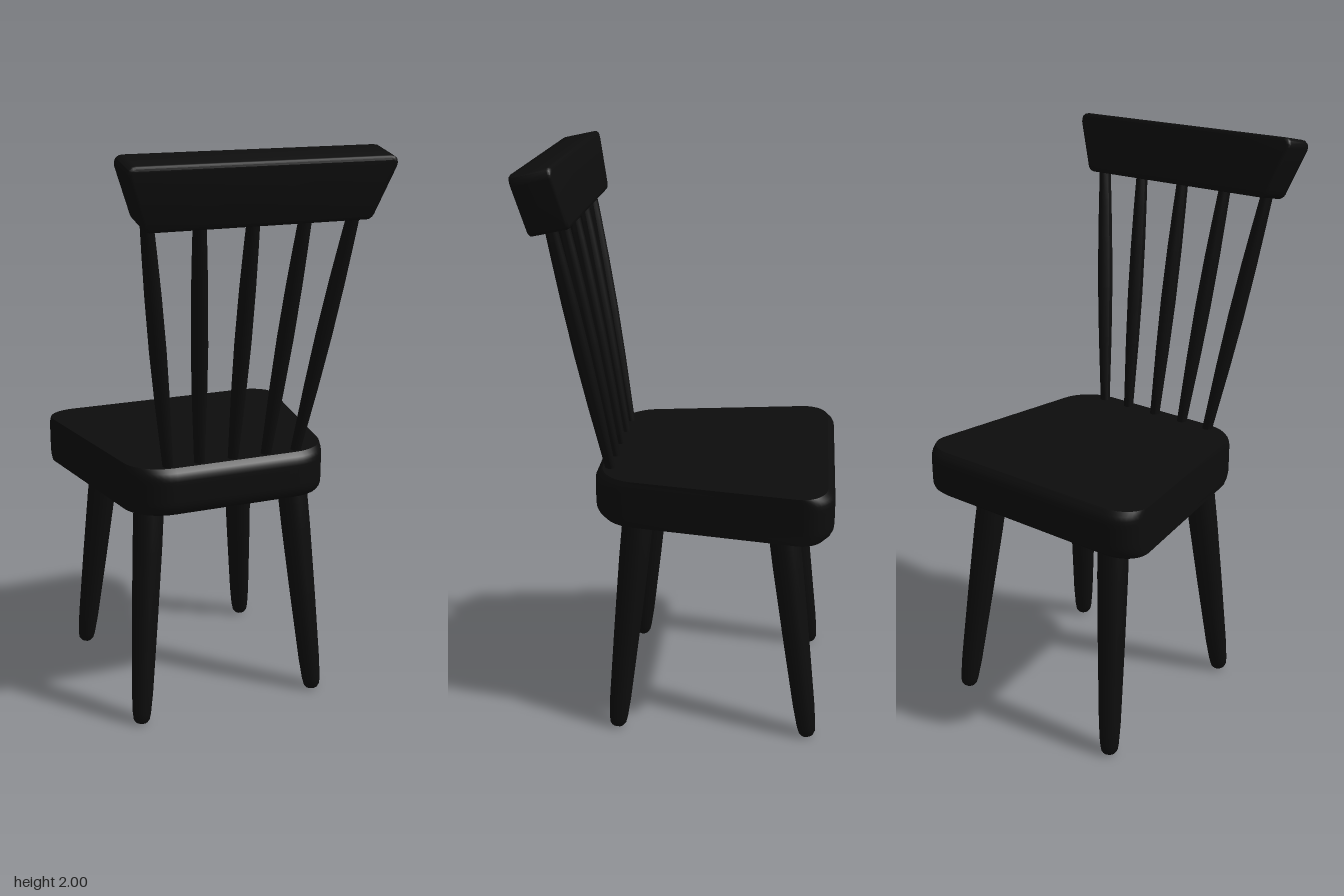
import * as THREE from 'three';
import { toCreasedNormals } from 'three/addons/utils/BufferGeometryUtils.js';

const material = new THREE.MeshStandardMaterial({ color: 0x0d0d0d });

function addMesh(parent, name, geometry) {
  const mesh = new THREE.Mesh(geometry, material);
  mesh.name = name;
  parent.add(mesh);
  return mesh;
}

// Turned round part from a to b; profile holds [radius, fraction of length]
function addTurned(parent, name, a, b, profile, sides) {
  const start = new THREE.Vector3(...a);
  const dir = new THREE.Vector3(...b).sub(start);
  const length = dir.length();
  const points = profile.map(([r, t]) => new THREE.Vector2(r, t * length));
  const geometry = toCreasedNormals(new THREE.LatheGeometry(points, sides), 0.8);
  const mesh = addMesh(parent, name, geometry);
  mesh.position.copy(start);
  mesh.quaternion.setFromUnitVectors(new THREE.Vector3(0, 1, 0), dir.normalize());
}

// Tapered seat slab with round corners and softened front and back edges
function seatGeometry() {
  const s = new THREE.Shape();
  s.moveTo(-0.35, -0.507);
  s.lineTo(0.35, -0.507);
  s.bezierCurveTo(0.415, -0.505, 0.46, -0.46, 0.453, -0.405);
  s.lineTo(0.362, 0.19);
  s.bezierCurveTo(0.352, 0.25, 0.3, 0.309, 0.22, 0.309);
  s.lineTo(-0.22, 0.309);
  s.bezierCurveTo(-0.3, 0.309, -0.352, 0.25, -0.362, 0.19);
  s.lineTo(-0.453, -0.405);
  s.bezierCurveTo(-0.46, -0.46, -0.415, -0.505, -0.35, -0.507);

  const depth = 0.165;
  const geometry = new THREE.ExtrudeGeometry(s, { depth, steps: 12, bevelEnabled: false, curveSegments: 10 });
  geometry.rotateX(Math.PI / 2);
  geometry.translate(0, 0.96, 0);
  const p = geometry.attributes.position;
  const middle = -0.1;
  for (let i = 0; i < p.count; i++) {
    const t = Math.abs((p.getY(i) - 0.96 + depth / 2) / (depth / 2));
    const k = 1 - 0.06 * Math.max(0, (t - 0.5) / 0.5) ** 2.5;
    p.setZ(i, middle + (p.getZ(i) - middle) * k);
  }
  return toCreasedNormals(geometry, 0.6);
}

// Flared top rail with a narrow bevel
function railGeometry() {
  const bevel = 0.012, h = 0.1025 - bevel, d = 0.135 - 2 * bevel;
  const s = new THREE.Shape();
  s.moveTo(-0.36, -h);
  s.lineTo(0.36, -h);
  s.quadraticCurveTo(0.373, -h, 0.378, -h + 0.02);
  s.lineTo(0.43, h - 0.02);
  s.quadraticCurveTo(0.435, h, 0.415, h);
  s.lineTo(-0.415, h);
  s.quadraticCurveTo(-0.435, h, -0.43, h - 0.02);
  s.lineTo(-0.378, -h + 0.02);
  s.quadraticCurveTo(-0.373, -h, -0.36, -h);
  const geometry = new THREE.ExtrudeGeometry(s, {
    depth: d, bevelThickness: bevel, bevelSize: bevel, bevelSegments: 3, curveSegments: 4
  });
  geometry.translate(0, 0, -d / 2);
  return toCreasedNormals(geometry, 0.6);
}

export function createModel() {
  const chair = new THREE.Group();
  chair.name = 'chair';

  // The whole chair stands very slightly turned
  const body = new THREE.Group();
  body.name = 'chairBody';
  body.rotation.y = 0.018;
  chair.add(body);

  addMesh(body, 'seat', seatGeometry());

  // Splayed legs, thinner and rounded at the foot
  const legProfile = [
    [0, 0], [0.022, 0], [0.029, 0.012], [0.033, 0.04], [0.038, 0.13],
    [0.046, 0.45], [0.052, 0.75], [0.053, 0.9], [0.05, 1], [0, 1]
  ];
  for (const side of [-1, 1]) {
    const label = side > 0 ? 'Left' : 'Right';
    addTurned(body, 'backLeg' + label, [side * 0.336, 0.004, 0.235], [side * 0.266, 0.85, 0.154], legProfile, 12);
    addTurned(body, 'frontLeg' + label, [side * 0.336, 0.004, -0.443], [side * 0.266, 0.85, -0.328], legProfile, 12);
  }

  // Five spindles fanning out from the seat to the rail
  const spindleProfile = [
    [0, 0], [0.017, 0], [0.02, 0.12], [0.025, 0.3], [0.028, 0.5],
    [0.027, 0.7], [0.024, 0.85], [0.02, 1], [0, 1]
  ];
  const feet = [-0.23, -0.12, 0, 0.12, 0.23];
  const heads = [-0.355, -0.182, 0, 0.182, 0.355];
  feet.forEach((x, i) => {
    addTurned(body, 'spindle' + (i + 1), [x, 0.92, 0.25], [heads[i], 1.83, 0.411], spindleProfile, 10);
  });

  // Top rail leaning back
  const rail = addMesh(body, 'topRail', railGeometry());
  rail.position.set(0, 1.887, 0.428);
  rail.rotation.x = 0.21;

  return chair;
}
